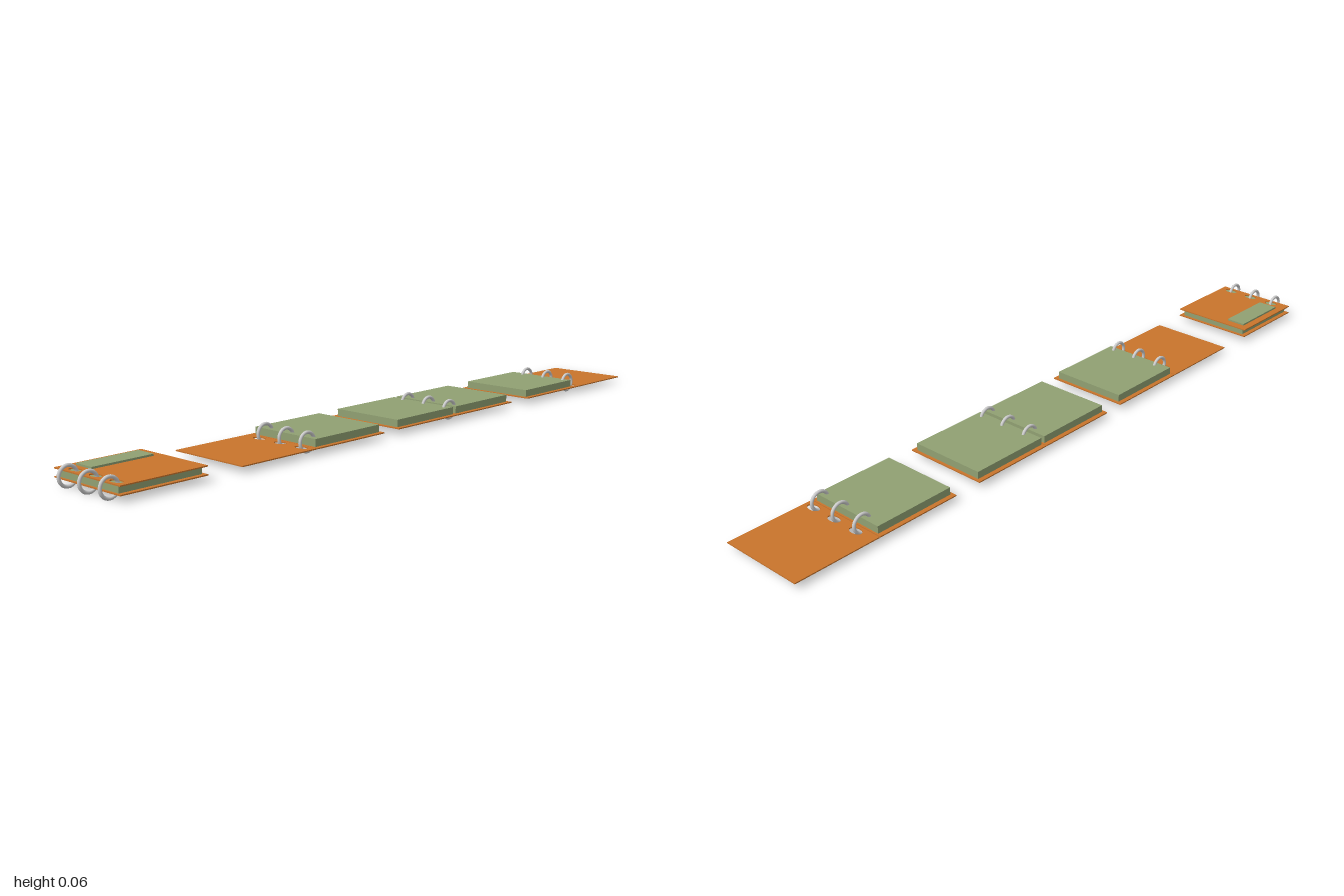
import * as THREE from 'three';

const orange = new THREE.MeshStandardMaterial({ color: 0xc8742c });
const green = new THREE.MeshStandardMaterial({ color: 0x90a072 });
const metal = new THREE.MeshStandardMaterial({ color: 0xcccccc });

const RING_Z = [-0.065, 0.012, 0.087];
const RING_R = 0.0245, RING_TUBE = 0.0045, RING_Y = 0.029;
const COVER_W = 0.246, COVER_D = 0.244, COVER_T = 0.003;
const COVER_Y = 0.0155, PAGE_Y = 0.0185, PAGE_TOP = 0.0385;

function add(parent, name, geometry, material, x = 0, y = 0, z = 0) {
  const mesh = new THREE.Mesh(geometry, material);
  mesh.name = name;
  mesh.position.set(x, y, z);
  parent.add(mesh);
  return mesh;
}

// Thin board starting at the spine, reaching out to one side, punched for the rings
function coverGeometry(side, zOffset) {
  const x0 = 0.001 * side, x1 = COVER_W * side;
  const y0 = -zOffset - COVER_D / 2, y1 = -zOffset + COVER_D / 2;
  const shape = new THREE.Shape();
  shape.moveTo(x0, y0).lineTo(x1, y0).lineTo(x1, y1).lineTo(x0, y1).closePath();
  for (const z of RING_Z) {
    const hole = new THREE.Path();
    hole.absellipse(0.02 * side, -z, 0.012, 0.02, 0, Math.PI * 2, false);
    shape.holes.push(hole);
  }
  const geometry = new THREE.ExtrudeGeometry(shape, { depth: COVER_T, bevelEnabled: false, curveSegments: 16 });
  return geometry.rotateX(-Math.PI / 2);
}

// Stack of sheets lying on one cover
function addPages(book, side, zOffset, height) {
  const width = 0.232;
  add(book, 'pages', new THREE.BoxGeometry(width, height, 0.219), green,
    side * (0.006 + width / 2), PAGE_Y + height / 2, zOffset);
}

function addRings(book) {
  for (const z of RING_Z) {
    add(book, 'ring', new THREE.TorusGeometry(RING_R, RING_TUBE, 12, 40), metal, 0, RING_Y, z);
  }
}

// Binder lying open; pageSides lists the covers that carry pages
function openBinder(name, spineX, zOffset, pageSides) {
  const book = new THREE.Group();
  book.name = name;
  book.position.x = spineX;
  for (const side of [-1, 1]) {
    add(book, side < 0 ? 'rightCover' : 'leftCover', coverGeometry(side, zOffset), orange, 0, COVER_Y, 0);
  }
  for (const side of pageSides) addPages(book, side, zOffset, PAGE_TOP - PAGE_Y);
  addRings(book);
  return book;
}

// Closed binder with a label on its front cover
function closedBinder(spineX, zOffset) {
  const book = new THREE.Group();
  book.name = 'closedBinder';
  book.position.x = spineX;
  add(book, 'backCover', coverGeometry(1, zOffset), orange, 0, COVER_Y, 0);
  add(book, 'frontCover', coverGeometry(1, zOffset), orange, 0, 0.0365, 0);
  addPages(book, 1, zOffset, 0.0175);
  add(book, 'label', new THREE.BoxGeometry(0.175, 0.005, 0.058), green, 0.134, 0.042, -0.07);
  addRings(book);
  return book;
}

export function createModel() {
  const model = new THREE.Group();
  model.name = 'ringBinders';
  model.add(
    closedBinder(-0.971, 0.002),
    openBinder('binderOpenAtFirstPage', -0.374, 0.001, [1]),
    openBinder('binderOpenInMiddle', 0.179, -0.003, [-1, 1]),
    openBinder('binderOpenAtLastPage', 0.752, -0.004, [-1])
  );
  return model;
}
